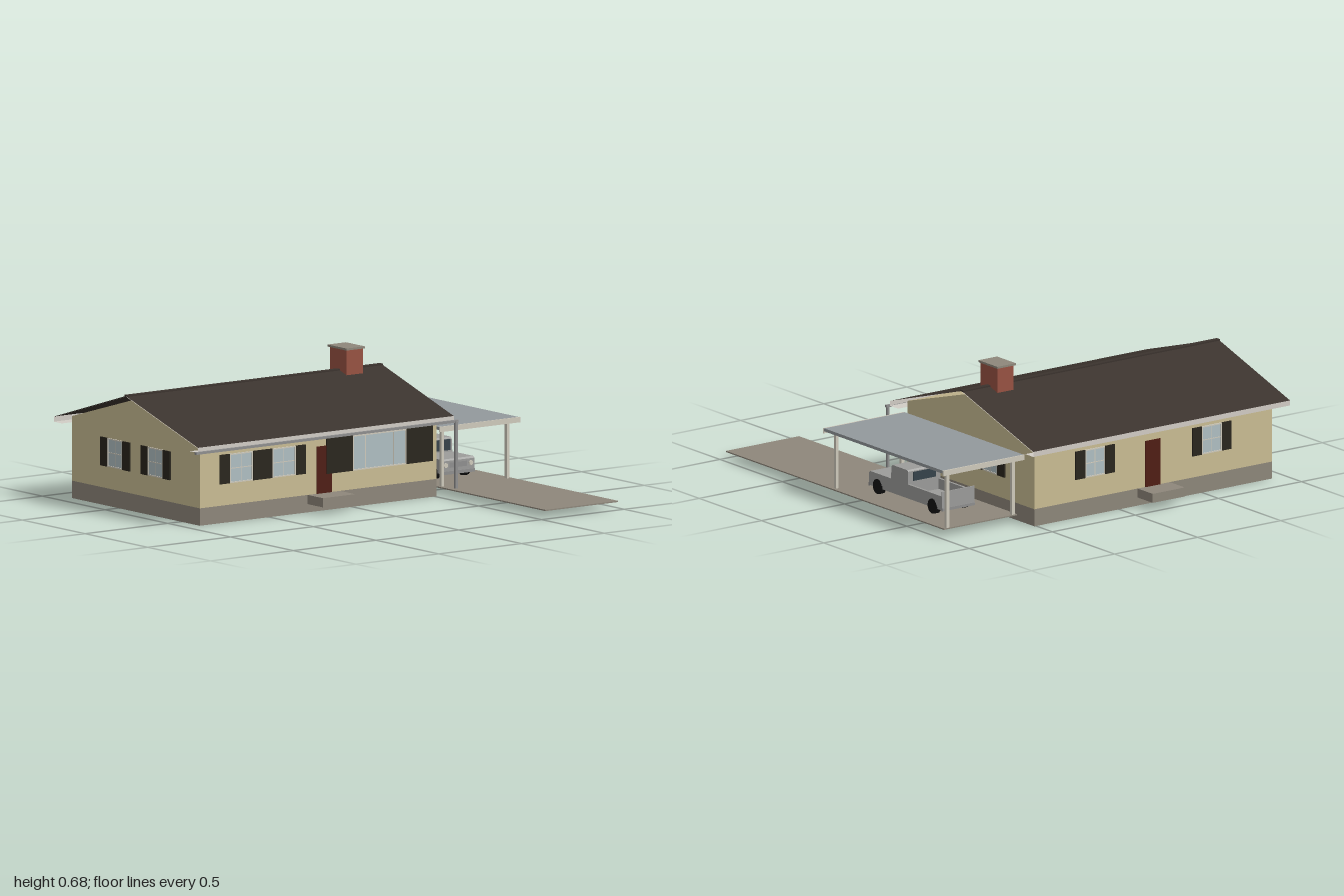
import * as THREE from 'three';

const mat = (color, side = THREE.FrontSide) =>
  new THREE.MeshStandardMaterial({ color, side, flatShading: true });

const M = {
  wall: mat(0xcabd94), stone: mat(0x8e877b), roof: mat(0x3b332e, THREE.DoubleSide),
  trim: mat(0xd2cdc6, THREE.DoubleSide), cream: mat(0xd0cbbd), shutter: mat(0x29251c),
  glass: mat(0xb0bfc3), door: mat(0x4f1c12), brick: mat(0x985242), metal: mat(0x93999c),
  gutter: mat(0x8f8f8f), truck: mat(0x9c9c9a), tire: mat(0x141414), dark: mat(0x35424a),
};

function add(parent, name, geometry, material) {
  const mesh = new THREE.Mesh(geometry, material);
  mesh.name = name;
  parent.add(mesh);
  return mesh;
}

// box given by its two extreme corners
function box(parent, name, material, x0, x1, y0, y1, z0, z1) {
  const m = add(parent, name, new THREE.BoxGeometry(x1 - x0, y1 - y0, z1 - z0), material);
  m.position.set((x0 + x1) / 2, (y0 + y1) / 2, (z0 + z1) / 2);
  return m;
}

// thin sheet spanning x0..x1 between two (y, z) lines
function sheet(parent, name, material, x0, x1, y0, z0, y1, z1) {
  const g = new THREE.BufferGeometry();
  g.setAttribute('position', new THREE.Float32BufferAttribute(
    [x0, y0, z0, x1, y0, z0, x1, y1, z1, x0, y1, z1], 3));
  g.setIndex([0, 1, 2, 0, 2, 3]);
  g.computeVertexNormals();
  return add(parent, name, g, material);
}

// solid from a (z, y) outline, running from x0 to x1
function sideExtrude(parent, name, material, points, x0, x1) {
  const shape = new THREE.Shape(points.map(([z, y]) => new THREE.Vector2(-z, y)));
  const g = new THREE.ExtrudeGeometry(shape, { depth: x1 - x0, bevelEnabled: false });
  g.rotateY(Math.PI / 2);
  g.translate(x0, 0, 0);
  return add(parent, name, g, material);
}

// window facing +z, centred on its group: pane, frame, glazing bars, shutters
function makeWindow(name, w, h, shutterW, barsX, barsY) {
  const g = new THREE.Group();
  g.name = name;
  const a = w / 2, b = h / 2, t = 0.006;
  box(g, 'pane', M.glass, -a, a, -b, b, -0.004, 0.002);
  for (const s of [-1, 1]) {
    box(g, 'frameSide', M.cream, s * (a - t / 2) - t / 2, s * (a - t / 2) + t / 2, -b, b, 0, 0.006);
    box(g, 'frameRail', M.cream, -a, a, s * (b - t / 2) - t / 2, s * (b - t / 2) + t / 2, 0, 0.006);
    const c = s * (a + shutterW / 2);
    box(g, 'shutter', M.shutter, c - shutterW / 2, c + shutterW / 2, -b, b, -0.004, 0.007);
  }
  for (const x of barsX) box(g, 'uprightBar', M.cream, x - 0.002, x + 0.002, -b, b, 0, 0.004);
  for (const y of barsY) box(g, 'crossBar', M.cream, -a, a, y - 0.002, y + 0.002, 0, 0.004);
  return g;
}

function makeHouse() {
  const house = new THREE.Group();
  house.name = 'house';
  const X0 = -0.92, X1 = 0.51, Z0 = -0.87, Z1 = 0.15, ZM = -0.36;

  box(house, 'foundation', M.stone, X0, X1, 0, 0.085, Z0, Z1);
  sideExtrude(house, 'walls', M.wall,
    [[Z1, 0.085], [Z1, 0.4], [ZM, 0.55], [Z0, 0.4], [Z0, 0.085]], X0, X1);

  // roof slopes with fascia, soffit and barge trim
  const R0 = -0.98, R1 = 0.565, ridge = 0.572, eave = 0.395;
  for (const s of [1, -1]) {
    const ze = ZM + s * 0.575, zw = ZM + s * 0.51;
    sheet(house, 'roofSlope', M.roof, R0, R1, eave, ze, ridge, ZM);
    sheet(house, 'fascia', M.trim, R0, R1, 0.37, ze, eave, ze);
    sheet(house, 'soffit', M.trim, R0, R1, 0.37, zw, 0.37, ze);
    for (const x of [R0, R1 - 0.003])
      sheet(house, 'bargeTrim', M.trim, x, x + 0.003, eave - 0.003, ze, ridge - 0.003, ZM);
  }
  box(house, 'ridgeCap', M.roof, R0, R1, 0.569, 0.576, ZM - 0.013, ZM + 0.013);
  box(house, 'gutter', M.gutter, -1, 0.585, 0.364, 0.376, 0.215, 0.228);
  box(house, 'downspout', M.gutter, 0.564, 0.578, 0.04, 0.37, 0.219, 0.231);

  box(house, 'chimney', M.brick, 0.305, 0.402, 0.45, 0.674, -0.43, -0.295);
  box(house, 'chimneyCap', M.stone, 0.298, 0.409, 0.674, 0.684, -0.438, -0.288);

  // doors and steps
  box(house, 'frontDoor', M.door, -0.215, -0.125, 0.085, 0.315, Z1 - 0.01, Z1 + 0.004);
  box(house, 'backDoor', M.door, -0.245, -0.155, 0.085, 0.315, Z0 - 0.004, Z0 + 0.01);
  box(house, 'frontStep', M.stone, -0.268, -0.073, 0.04, 0.085, Z1 - 0.01, 0.27);
  box(house, 'backStep', M.stone, -0.305, -0.112, 0.04, 0.085, -0.99, Z0 + 0.01);

  // windows: name, x, y, z, turn, width, height, shutter width, bars
  const place = (name, x, y, z, turn, w, h, sw, bx, by) => {
    const g = makeWindow(name, w, h, sw, bx, by);
    g.position.set(x, y, z);
    g.rotation.y = turn;
    house.add(g);
  };
  place('pictureWindow', 0.163, 0.2625, Z1, 0, 0.325, 0.172, 0.157, [-0.085, 0.085], []);
  for (const x of [-0.672, -0.415])
    place('frontWindow', x, 0.262, Z1, 0, 0.14, 0.143, 0.06, [0], [0]);
  for (const x of [0.148, -0.555])
    place('backWindow', x, 0.262, Z0, Math.PI, 0.12, 0.14, 0.057, [0], [0]);
  for (const z of [-0.198, -0.52]) {
    place('leftWindow', X1, 0.262, z, Math.PI / 2, 0.12, 0.14, 0.057, [0], [0]);
    place('rightWindow', X0, 0.262, z, -Math.PI / 2, 0.12, 0.14, 0.057, [0], [0]);
  }
  return house;
}

function makeCarport() {
  const port = new THREE.Group();
  port.name = 'carport';
  box(port, 'driveway', M.stone, 0.535, 0.975, 0.036, 0.042, -0.765, 0.985);
  box(port, 'carportRoof', M.metal, 0.512, 0.997, 0.325, 0.34, -0.788, 0.17);
  for (const z of [-0.79, 0.17])
    box(port, 'roofEdge', M.cream, 0.512, 1, 0.315, 0.341, z - 0.003, z + 0.003);
  for (const x of [0.555, 0.95])
    for (const z of [-0.755, 0.132])
      box(port, 'post', M.cream, x - 0.008, x + 0.008, 0.04, 0.326, z - 0.008, z + 0.008);
  return port;
}

function makeTruck() {
  const truck = new THREE.Group();
  truck.name = 'pickupTruck';
  const L = 0.656, R = 0.852;

  // hood and cab, then an open bed
  sideExtrude(truck, 'cabAndHood', M.truck, [[0, 0.072], [0, 0.134], [-0.008, 0.142],
    [-0.175, 0.142], [-0.18, 0.205], [-0.188, 0.212], [-0.305, 0.212], [-0.313, 0.205],
    [-0.313, 0.072]], L, R);
  box(truck, 'bedFloor', M.truck, L, R, 0.072, 0.09, -0.58, -0.31);
  for (const x of [L, R - 0.012])
    box(truck, 'bedSide', M.truck, x, x + 0.012, 0.072, 0.142, -0.58, -0.31);
  box(truck, 'tailgate', M.truck, L, R, 0.072, 0.142, -0.583, -0.571);
  box(truck, 'bedRack', M.truck, L, R, 0.14, 0.164, -0.585, -0.58);

  // glass, grille, lights and bumpers
  box(truck, 'windshield', M.dark, L + 0.012, R - 0.012, 0.15, 0.203, -0.19, -0.173);
  box(truck, 'rearGlass', M.dark, L + 0.03, R - 0.03, 0.155, 0.2, -0.315, -0.305);
  box(truck, 'grille', M.gutter, L + 0.045, R - 0.045, 0.1, 0.125, -0.01, 0.003);
  for (const x of [L + 0.022, R - 0.022]) {
    const lamp = add(truck, 'headlight', new THREE.CylinderGeometry(0.012, 0.012, 0.01, 16), M.cream);
    lamp.rotation.x = Math.PI / 2;
    lamp.position.set(x, 0.113, 0);
  }
  box(truck, 'frontBumper', M.gutter, L, R, 0.068, 0.084, -0.005, 0.006);
  box(truck, 'rearBumper', M.gutter, L, R, 0.068, 0.082, -0.588, -0.58);

  // wheels
  for (const z of [-0.07, -0.51])
    for (const x of [L + 0.01, R - 0.01]) {
      const wheel = add(truck, 'wheel', new THREE.CylinderGeometry(0.037, 0.037, 0.026, 20), M.tire);
      wheel.rotation.z = Math.PI / 2;
      wheel.position.set(x, 0.078, z);
    }
  return truck;
}

export function createModel() {
  const model = new THREE.Group();
  model.name = 'houseWithCarport';
  model.add(makeHouse(), makeCarport(), makeTruck());
  return model;
}
